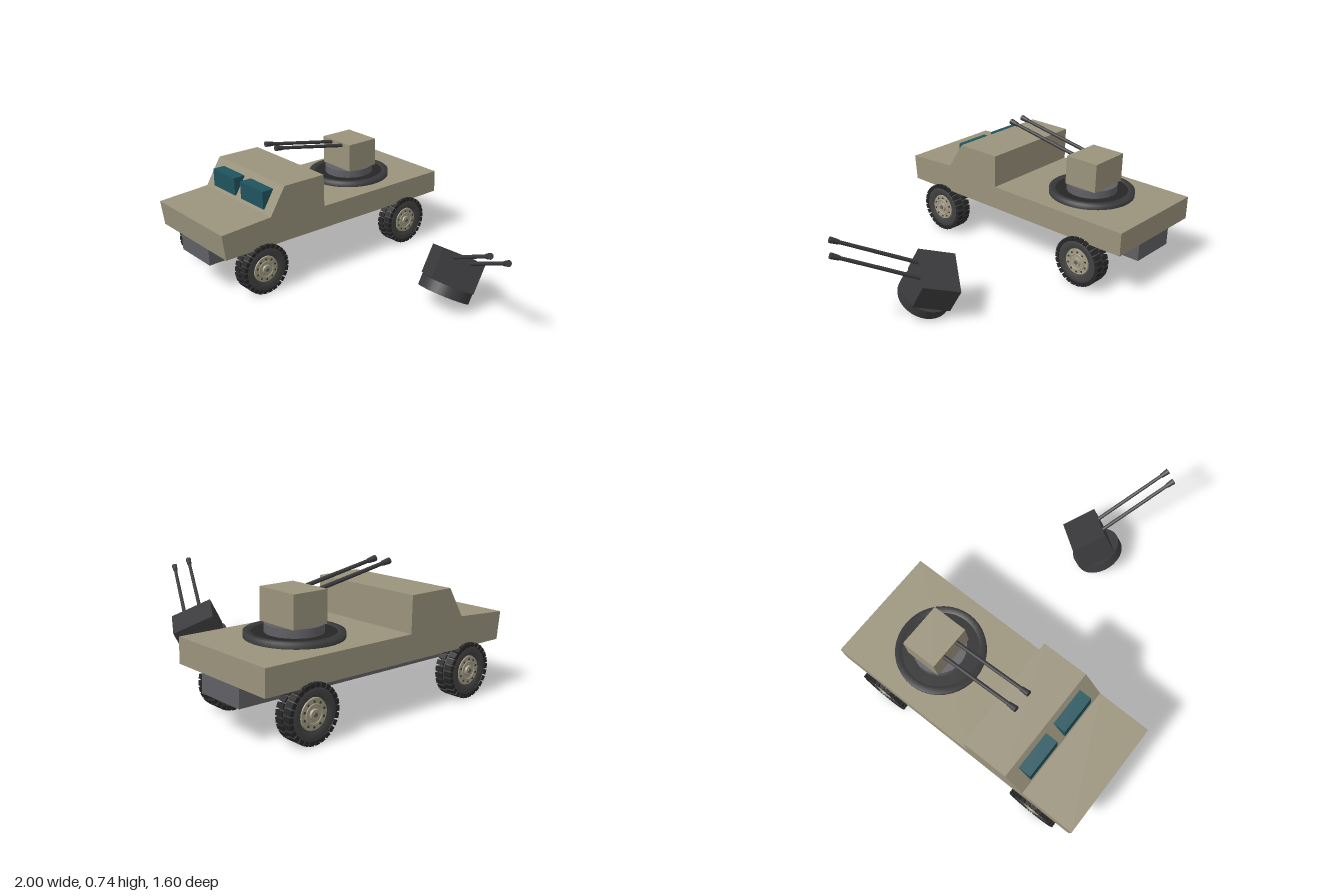
import * as THREE from 'three';

const mat = (name, color, side = THREE.FrontSide) => {
  const m = new THREE.MeshStandardMaterial({ color, side });
  m.name = name;
  return m;
};

export function createModel() {
  const paint = mat('tan paint', 0x9a937c);
  const steel = mat('chassis grey', 0x606065);
  const rubber = mat('tyre rubber', 0x424242);
  const tread = mat('tread black', 0x262626);
  const gunmetal = mat('gunmetal', 0x3b3b3d);
  const glass = mat('teal glass', 0x20545e);
  const hubPaint = mat('hub tan', 0xa39c84);

  const add = (parent, name, geo, material, x = 0, y = 0, z = 0) => {
    const m = new THREE.Mesh(geo, material);
    m.name = name;
    m.position.set(x, y, z);
    parent.add(m);
    return m;
  };
  const group = (parent, name, x = 0, y = 0, z = 0) => {
    const g = new THREE.Group();
    g.name = name;
    g.position.set(x, y, z);
    parent.add(g);
    return g;
  };
  const box = (w, h, d) => new THREE.BoxGeometry(w, h, d);
  // Cylinder lying along x, with the first radius on the +x end
  const axle = (r1, r2, len, n = 32) => new THREE.CylinderGeometry(r1, r2, len, n).rotateZ(-Math.PI / 2);
  const lathe = (pts, n = 48) => new THREE.LatheGeometry(pts.map(p => new THREE.Vector2(...p)), n);

  // Gun house with pedestal and twin barrels, origin at the centre of the house
  const addTurret = (parent, name, housePaint, basePaint) => {
    const t = group(parent, name);
    add(t, 'gunHouse', box(0.255, 0.17, 0.21), housePaint);
    add(t, 'pedestal', new THREE.CylinderGeometry(0.148, 0.148, 0.062, 32), basePaint, 0, -0.116, 0.008);
    for (const x of [-0.05, 0.05]) {
      const gun = group(t, 'gun', x, 0.064, 0.09);
      gun.rotation.x = -0.18;
      add(gun, 'barrel', new THREE.CylinderGeometry(0.01, 0.011, 0.48, 14).rotateX(Math.PI / 2), gunmetal, 0, 0, 0.24);
      add(gun, 'muzzle', new THREE.CylinderGeometry(0.017, 0.013, 0.05, 14).rotateX(Math.PI / 2), gunmetal, 0, 0, 0.49);
    }
    return t;
  };

  // Wheel with its outer face towards +x
  const addWheel = (parent, name, x, z, side) => {
    const w = group(parent, name, x, 0.154, z);
    if (side < 0) w.rotation.y = Math.PI;
    add(w, 'tyre', lathe([[0, -0.047], [0.115, -0.047], [0.132, -0.042], [0.14, -0.03], [0.14, 0.03],
      [0.132, 0.042], [0.115, 0.047], [0.085, 0.047], [0.08, 0.036], [0, 0.036]]).rotateZ(-Math.PI / 2), rubber);
    // Two staggered rows of tread blocks
    const block = box(0.044, 0.022, 0.026);
    const n = 26;
    for (const row of [-1, 1]) for (let i = 0; i < n; i++) {
      const a = (i + (row > 0 ? 0.5 : 0)) / n * Math.PI * 2;
      const b = add(w, 'treadBlock', block, tread, row * 0.028, Math.cos(a) * 0.137, Math.sin(a) * 0.137);
      b.rotation.x = a;
    }
    add(w, 'hubPlate', axle(0.076, 0.08, 0.012), hubPaint, 0.038);
    add(w, 'hubRing', new THREE.TorusGeometry(0.047, 0.004, 8, 32).rotateY(Math.PI / 2), hubPaint, 0.044);
    for (let i = 0; i < 10; i++) {
      const a = i / 10 * Math.PI * 2;
      add(w, 'wheelBolt', axle(0.006, 0.006, 0.008, 8), gunmetal, 0.043, Math.cos(a) * 0.061, Math.sin(a) * 0.061);
    }
    add(w, 'hubBoss', axle(0.024, 0.03, 0.014, 24), hubPaint, 0.046);
    add(w, 'hubCap', axle(0.011, 0.013, 0.01, 16), steel, 0.052);
  };

  const model = new THREE.Group();
  model.name = 'gunTruck';
  const truck = group(model, 'truck', -0.644);

  // Body: side profile (z, y) extruded across the width
  const profile = new THREE.Shape([[-0.8, 0.28], [0.782, 0.28], [0.8, 0.43], [0.48, 0.45], [0.38, 0.61],
    [0.105, 0.61], [0.105, 0.416], [-0.8, 0.416]].map(p => new THREE.Vector2(...p)));
  const width = 0.668;
  add(truck, 'body', new THREE.ExtrudeGeometry(profile, { depth: width, bevelEnabled: false })
    .translate(0, 0, -width / 2).rotateY(-Math.PI / 2), paint);
  add(truck, 'chassis', box(0.29, 0.1, 1.578), steel, 0, 0.23, -0.01);

  // Windscreen blocks
  for (const s of [-1, 1]) add(truck, 'windscreen', box(0.224, 0.106, 0.085), glass, s * 0.143, 0.523, 0.433);

  // Wheels
  for (const s of [-1, 1]) {
    addWheel(truck, 'frontWheel', s * 0.304, 0.537, s);
    addWheel(truck, 'rearWheel', s * 0.304, -0.532, s);
  }

  // Turret ring on the deck, with a dark inner plate
  const ring = group(truck, 'turretRing', 0, 0.416, -0.357);
  add(ring, 'ringRim', lathe([[0.25, 0], [0.25, 0.028], [0.212, 0.03], [0.212, 0]], 40), gunmetal);
  add(ring, 'ringPlate', new THREE.CylinderGeometry(0.213, 0.213, 0.024, 40), tread, 0, 0.012, 0);
  addTurret(truck, 'mountedTurret', paint, steel).position.set(0, 0.57, -0.365);

  // Spare turret, thrown clear and tilted
  const loose = addTurret(model, 'looseTurret', gunmetal, gunmetal);
  loose.position.set(0.465, 0.209, -0.173);
  loose.rotation.set(-0.52, 0.98, 0);

  return model;
}
